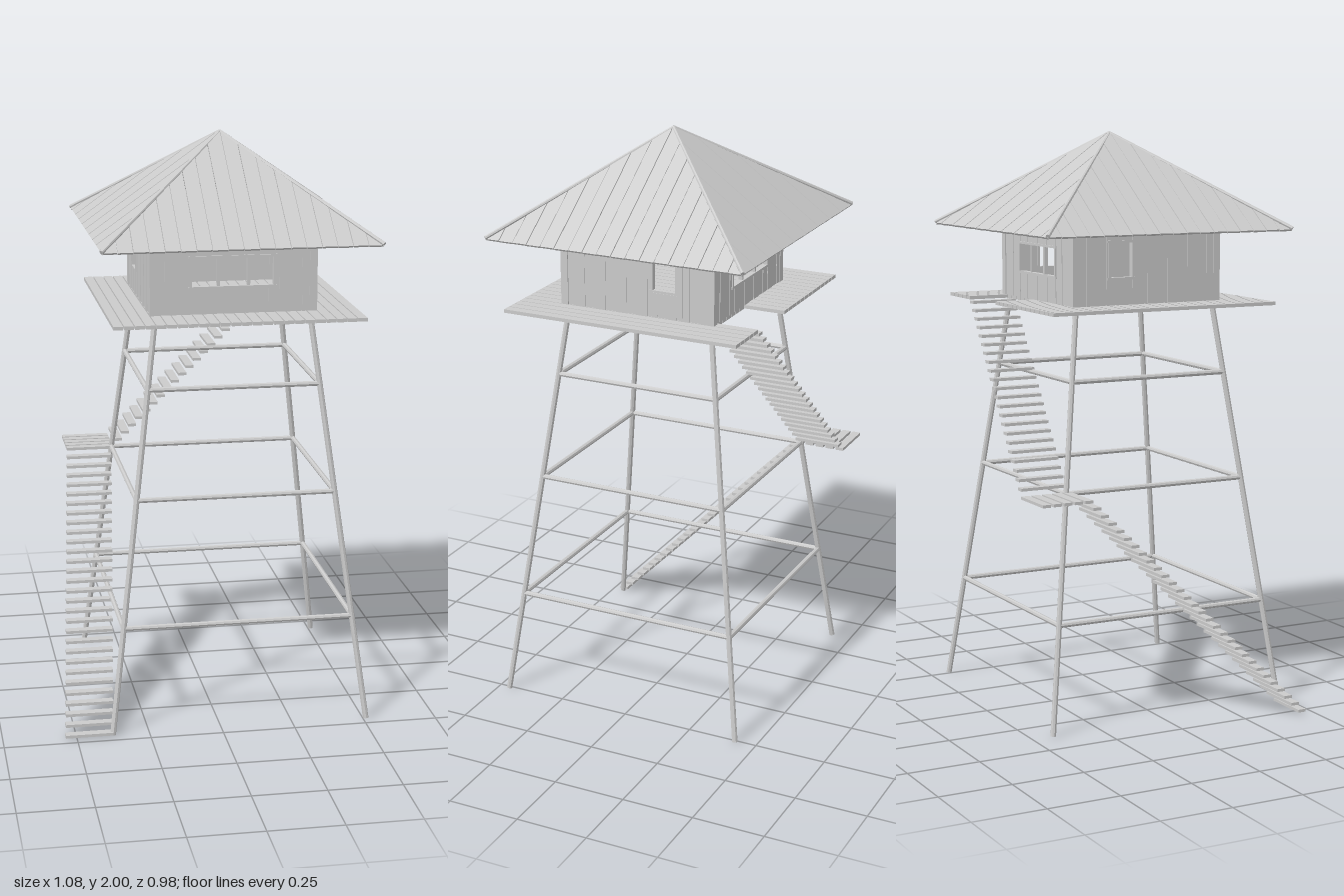
import * as THREE from 'three';

const mat = new THREE.MeshStandardMaterial({ color: 0xcccccc, flatShading: true });

function box(parent, name, w, h, d, x, y, z) {
  const m = new THREE.Mesh(new THREE.BoxGeometry(w, h, d), mat);
  m.position.set(x, y, z);
  m.name = name;
  parent.add(m);
  return m;
}

// Round pole between two points
function pole(parent, name, a, b, r) {
  const dir = b.clone().sub(a);
  const m = new THREE.Mesh(new THREE.CylinderGeometry(r, r, dir.length(), 8), mat);
  m.position.copy(a).add(b).multiplyScalar(0.5);
  m.quaternion.setFromUnitVectors(new THREE.Vector3(0, 1, 0), dir.normalize());
  m.name = name;
  parent.add(m);
}

function group(parent, name) {
  const g = new THREE.Group();
  g.name = name;
  parent.add(g);
  return g;
}

const V = (x, y, z) => new THREE.Vector3(x, y, z);
const CORNERS = [[1, 1], [1, -1], [-1, -1], [-1, 1]];
const FLOOR = 1.42, WALL_TOP = 1.75, CABIN = 0.284;
const EAVE = 1.67, APEX = 2.0, ROOF = 0.465;

// Four splayed legs joined by three rings of rails
function buildFrame(parent) {
  const g = group(parent, 'supportFrame');
  const at = (c, y) => {
    const h = 0.443 - (0.443 - 0.264) * y / 1.41;
    return V(c[0] * h, y, c[1] * h);
  };
  CORNERS.forEach((c, i) => {
    const next = CORNERS[(i + 1) % 4];
    pole(g, 'leg', at(c, 0), at(c, 1.41), 0.01);
    for (const y of [0.365, 0.8, 1.17]) pole(g, 'rail', at(c, y), at(next, y), 0.009);
  });
}

// Plank deck with a hatch where the upper stair arrives
function buildDeck(parent) {
  const g = group(parent, 'deck');
  const half = 0.426, n = 24, w = 2 * half / n;
  for (let i = 0; i < n; i++) {
    const x = -half + (i + 0.5) * w;
    const back = x > 0.04 && x < 0.24 ? -0.28 : -half;
    box(g, 'deckPlank', w - 0.004, 0.012, half - back, x, FLOOR - 0.006, (half + back) / 2);
  }
}

// Vertical plank wall facing local +z; hole = [u0, u1, y0, y1]
function buildWall(parent, name, angle, hole, mullions) {
  const g = group(parent, name);
  g.rotation.y = angle;
  const [u0, u1, y0, y1] = hole;
  const edges = [u0, u1];
  for (let i = 0; i <= 14; i++) edges.push(-CABIN + 0.012 + i * (2 * CABIN - 0.024) / 14);
  edges.sort((a, b) => a - b);
  for (let i = 0; i < edges.length - 1; i++) {
    const a = edges[i], b = edges[i + 1], u = (a + b) / 2;
    const z = CABIN - 0.01 + (i % 2) * 0.002;
    const spans = u > u0 && u < u1 ? [[FLOOR, y0], [y1, WALL_TOP]] : [[FLOOR, WALL_TOP]];
    for (const [lo, hi] of spans) {
      box(g, 'wallPlank', b - a, hi - lo, 0.012, u, (lo + hi) / 2, z);
    }
  }
  // Window trim and mullions
  const um = (u0 + u1) / 2, ym = (y0 + y1) / 2;
  for (const y of [y0, y1]) box(g, 'windowTrim', u1 - u0 + 0.016, 0.008, 0.02, um, y, CABIN - 0.008);
  for (const u of [u0, u1]) box(g, 'windowTrim', 0.008, y1 - y0, 0.02, u, ym, CABIN - 0.008);
  for (const u of mullions) box(g, 'mullion', 0.01, y1 - y0, 0.014, u, ym, CABIN - 0.01);
  box(g, 'wallPlate', 2 * CABIN - 0.02, 0.025, 0.02, 0, WALL_TOP - 0.012, CABIN - 0.024);
  return g;
}

function buildCabin(parent) {
  const g = group(parent, 'cabin');
  buildWall(g, 'frontWall', 0, [-0.147, 0.138, 1.51, 1.613], [-0.052, 0.05]);
  buildWall(g, 'backWall', Math.PI, [-0.138, 0.147, 1.51, 1.613], [-0.05, 0.052]);
  buildWall(g, 'windowSideWall', -Math.PI / 2, [-0.147, -0.057, 1.51, 1.635], []);
  const doorWall = buildWall(g, 'doorWall', Math.PI / 2, [0.057, 0.147, 1.51, 1.635], []);
  // Door panel under its window
  box(doorWall, 'doorPanel', 0.116, 0.075, 0.008, 0.112, 1.468, CABIN - 0.002);
  box(doorWall, 'doorStile', 0.02, 0.205, 0.008, 0.16, 1.533, CABIN - 0.002);
  for (const [sx, sz] of CORNERS) {
    box(g, 'cornerPost', 0.026, WALL_TOP - FLOOR, 0.026,
      sx * (CABIN - 0.013), (WALL_TOP + FLOOR) / 2, sz * (CABIN - 0.013));
  }
}

// Pyramid roof of sloping planks, with poles over the hips
function buildRoof(parent) {
  const g = group(parent, 'roof');
  const slope = Math.atan2(APEX - EAVE, ROOF), len = Math.hypot(APEX - EAVE, ROOF);
  const n = 18, w = 2 * ROOF / n, gap = 0.001;
  const top = u => len * (1 - Math.abs(u) / ROOF);
  for (let f = 0; f < 4; f++) {
    const face = group(g, 'roofFace');
    face.rotation.y = f * Math.PI / 2;
    for (let i = 0; i < n; i++) {
      const a = -ROOF + i * w + gap, b = a + w - 2 * gap;
      const shape = new THREE.Shape([[a, 0], [b, 0], [b, top(b)], [a, top(a)]]
        .map(p => new THREE.Vector2(...p)));
      const geo = new THREE.ExtrudeGeometry(shape, { depth: 0.007, bevelEnabled: false });
      geo.translate(0, 0, -0.007 - (i % 2) * 0.001);
      const plank = new THREE.Mesh(geo, mat);
      plank.name = 'roofPlank';
      plank.rotation.x = slope - Math.PI / 2;
      plank.position.set(0, EAVE, ROOF);
      face.add(plank);
    }
  }
  for (const [sx, sz] of CORNERS) {
    pole(g, 'hipPole', V(sx * ROOF, EAVE + 0.003, sz * ROOF), V(0, APEX - 0.007, 0), 0.007);
  }
}

// Open treads; each flight leans inward with the tower
function buildStairs(parent) {
  const g = group(parent, 'stairs');
  const lerp = THREE.MathUtils.lerp;
  const lower = 29, upper = 22;
  for (let i = 0; i < lower; i++) {
    const t = i / (lower - 1);
    box(g, 'lowerTread', 0.163, 0.01, 0.03,
      lerp(-0.457, -0.361, t), lerp(0.008, 0.775, t), lerp(0.457, -0.293, t));
  }
  for (let i = 0; i < 5; i++) {
    box(g, 'landingPlank', 0.17, 0.01, 0.029, -0.355, 0.8, -0.475 + i * 0.0385);
  }
  for (let i = 0; i < upper; i++) {
    const t = i / (upper - 1);
    box(g, 'upperTread', 0.03, 0.01, 0.165,
      lerp(-0.25, 0.3, t), lerp(0.825, 1.4, t), lerp(-0.402, -0.328, t));
  }
}

export function createModel() {
  const model = new THREE.Group();
  model.name = 'watchtower';
  const tower = group(model, 'tower');
  tower.position.set(0.067, 0, 0.017);
  buildFrame(tower);
  buildDeck(tower);
  buildCabin(tower);
  buildRoof(tower);
  buildStairs(model);
  return model;
}
